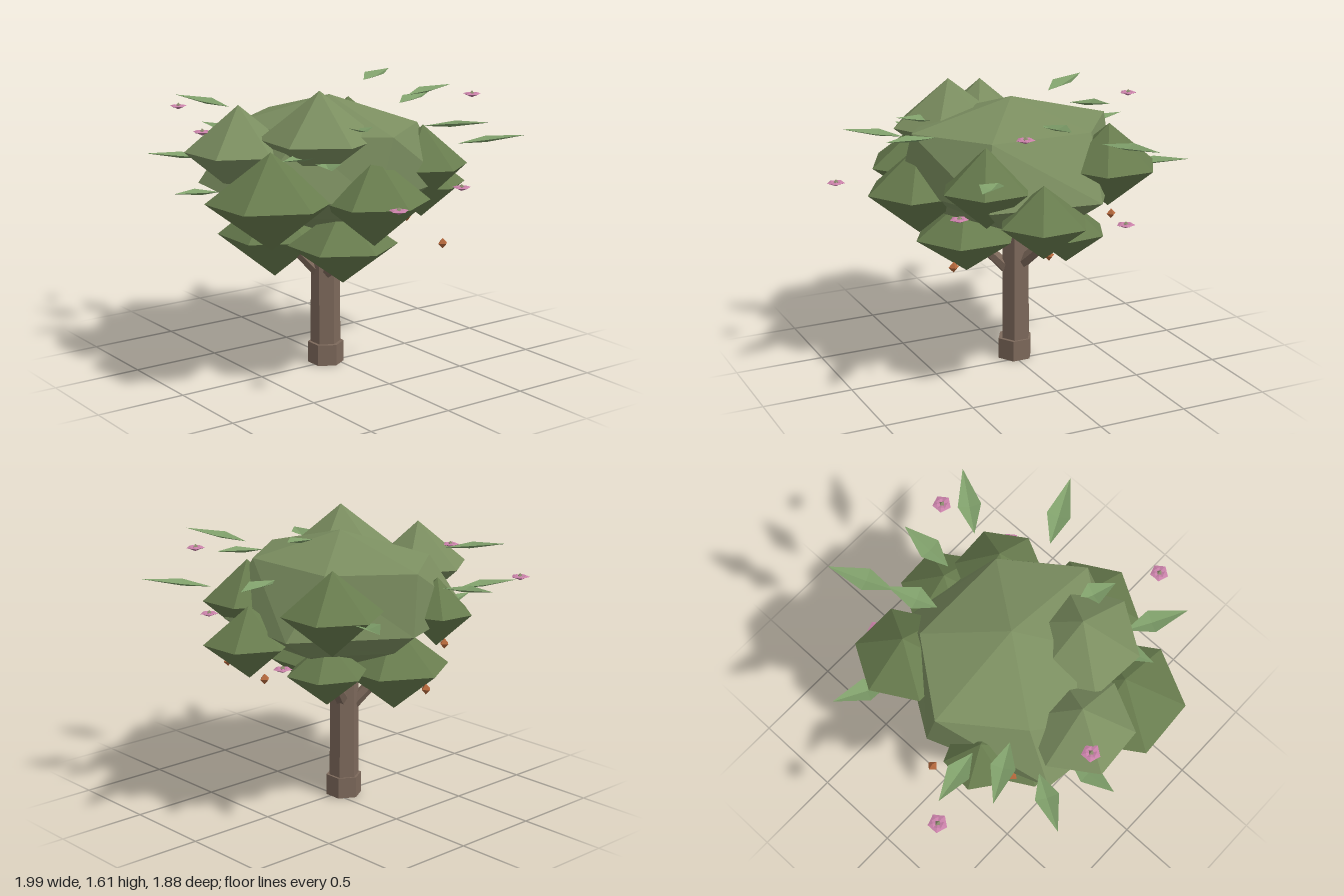
import * as THREE from 'three';

const V = (x, y, z) => new THREE.Vector3(x, y, z);
const mat = (color, side = THREE.FrontSide) =>
  new THREE.MeshStandardMaterial({ color, flatShading: true, side });

const BARK = mat(0x7d695b);
const GREEN = mat(0x7b8e60);
const DARK = mat(0x687c4e);
const LEAF = mat(0x7f9f6a, THREE.DoubleSide);
const PETAL = mat(0xc880a8, THREE.DoubleSide);
const HEART = mat(0x8f8f70);
const FRUIT = mat(0xb5683c);

function add(parent, name, geometry, material, x = 0, y = 0, z = 0) {
  const mesh = new THREE.Mesh(geometry, material);
  mesh.name = name;
  mesh.position.set(x, y, z);
  parent.add(mesh);
  return mesh;
}

// Six-sided limb between two points
function limb(parent, name, a, b, r0, r1) {
  const dir = b.clone().sub(a);
  const mesh = add(parent, name, new THREE.CylinderGeometry(r1, r0, dir.length(), 6), BARK);
  mesh.position.copy(a).addScaledVector(dir, 0.5);
  mesh.quaternion.setFromUnitVectors(V(0, 1, 0), dir.normalize());
}

// Large crown: hexagonal rings closed by an upper and a lower point
function crownGeometry() {
  const rings = [ // y, x radius, z radius, z centre, turn
    [1.53, 0, 0, 0.05, 0], [1.38, 0.585, 0.45, 0.06, 0], [1.05, 0.62, 0.71, 0.095, -0.12],
    [0.93, 0.46, 0.48, 0.05, -0.06], [0.75, 0, 0, 0.05, 0]];
  const pos = [], index = [];
  for (const [y, rx, rz, z, turn] of rings)
    for (let i = 0; i < 6; i++) {
      const a = i * Math.PI / 3 + turn;
      pos.push(rx * Math.cos(a), y, z - rz * Math.sin(a));
    }
  for (let j = 0; j < rings.length - 1; j++)
    for (let i = 0; i < 6; i++) {
      const a = j * 6 + i, b = j * 6 + (i + 1) % 6;
      if (j < rings.length - 2) index.push(a, a + 6, b + 6);
      else index.push(a, a + 6, b);
      if (j > 0 && j < rings.length - 2) index.push(a, b + 6, b);
    }
  const g = new THREE.BufferGeometry();
  g.setAttribute('position', new THREE.Float32BufferAttribute(pos, 3));
  g.setIndex(index);
  g.computeVertexNormals();
  return g;
}

// Pointed leaf folded along its middle rib
function leafGeometry(base, tip) {
  const dir = tip.clone().sub(base);
  const side = V(-dir.z, 0, dir.x).normalize().multiplyScalar(0.065);
  const mid = base.clone().addScaledVector(dir, 0.42);
  const l = mid.clone().add(side), r = mid.clone().sub(side);
  l.y += 0.012;
  r.y += 0.012;
  mid.y -= 0.012;
  const g = new THREE.BufferGeometry().setFromPoints(
    [base, l, mid, mid, l, tip, base, mid, r, mid, tip, r]);
  g.computeVertexNormals();
  return g;
}

function flower(parent, x, y, z) {
  const group = new THREE.Group();
  group.name = 'flower';
  group.position.set(x, y, z);
  const petal = new THREE.OctahedronGeometry(1).scale(0.026, 0.008, 0.034);
  for (let i = 0; i < 5; i++) {
    const a = i * Math.PI * 2 / 5;
    const p = add(group, 'petal', petal, PETAL, 0.026 * Math.cos(a), 0.003, -0.026 * Math.sin(a));
    p.rotation.y = a;
  }
  add(group, 'flowerCup', new THREE.ConeGeometry(0.042, 0.018, 5).rotateX(Math.PI), PETAL, 0, -0.008, 0);
  add(group, 'flowerHeart', new THREE.OctahedronGeometry(0.016), HEART, 0, 0.006, 0);
  parent.add(group);
}

export function createModel() {
  const tree = new THREE.Group();
  tree.name = 'tree';

  // Trunk, root collar and branches
  const hex = (r0, r1, h) => new THREE.CylinderGeometry(r1, r0, h, 6).rotateY(Math.PI / 6);
  add(tree, 'rootCollar', hex(0.102, 0.102, 0.12), BARK, -0.015, 0.06, 0.057);
  add(tree, 'trunk', hex(0.085, 0.08, 0.9), BARK, -0.02, 0.45, 0.055);
  limb(tree, 'branch', V(-0.02, 0.54, 0.05), V(-0.19, 0.84, -0.23), 0.04, 0.028);
  limb(tree, 'branch', V(0.0, 0.51, 0.06), V(0.24, 0.76, 0.13), 0.04, 0.028);
  limb(tree, 'branch', V(-0.02, 0.5, 0.07), V(-0.17, 0.76, 0.27), 0.04, 0.028);

  // Crown and the faceted foliage clumps around it
  add(tree, 'crown', crownGeometry(), GREEN, 0.01, 0, 0);
  const clumps = [ // x, y, z, radius, half height, turn
    [0.275, 1.35, 0.3, 0.32, 0.255, -0.07],
    [-0.05, 1.27, 0.595, 0.29, 0.245, 0.07],
    [0.28, 1.055, 0.61, 0.345, 0.26, 0.06],
    [0.53, 1.045, 0.13, 0.295, 0.245, 0],
    [0.34, 1.15, -0.34, 0.25, 0.22, 0.06],
    [0.1, 0.985, -0.53, 0.25, 0.2, 0.05],
    [-0.375, 1.2, -0.36, 0.275, 0.23, 0],
    [-0.49, 1.12, 0.3, 0.2, 0.19, 0.4],
    [-0.185, 0.75, 0.285, 0.315, 0.25, 0],
    [0.25, 0.75, 0.13, 0.3, 0.215, 0],
    [-0.19, 0.815, -0.23, 0.225, 0.18, 0.1]];
  clumps.forEach(([x, y, z, r, h, turn], i) => {
    const clump = add(tree, 'foliageClump', new THREE.SphereGeometry(1, 6, 2), i < 2 ? GREEN : DARK, x, y, z);
    clump.scale.set(r, h, r);
    clump.rotation.y = turn;
  });

  // Loose leaves: base point, then tip
  const leaves = [
    [-0.2, 1.39, -0.6, -0.345, 1.41, -0.94], [0.375, 1.245, -0.56, 0.6, 1.295, -0.86],
    [-0.53, 1.18, -0.31, -0.825, 1.2, -0.455], [0.55, 1.41, -0.17, 0.89, 1.46, -0.335],
    [-0.54, 1.26, 0.29, -0.85, 1.285, 0.345], [-0.41, 1.44, 0.43, -0.71, 1.485, 0.595],
    [-0.37, 1.18, 0.6, -0.54, 1.21, 0.885], [-0.17, 1.03, 0.64, -0.15, 1.06, 0.935],
    [0.5, 1.27, 0.42, 0.8, 1.305, 0.595], [0.38, 1.28, 0.38, 0.455, 1.3, 0.655],
    [0.4, 1.41, 0.16, 0.61, 1.43, 0.24], [-0.16, 1.555, -0.31, -0.26, 1.59, -0.565],
    [0.065, 1.485, -0.45, 0.065, 1.52, -0.765]];
  for (const [a, b, c, d, e, f] of leaves)
    add(tree, 'leaf', leafGeometry(V(a, b, c), V(d, e, f)), LEAF);

  // Blossoms
  const flowers = [
    [-0.32, 0.95, -0.655], [0.3, 1.495, -0.72], [0.545, 1.04, -0.45],
    [0.945, 1.09, 0.295], [-0.95, 1.37, 0.44], [-0.155, 1.37, 0.755]];
  for (const p of flowers) flower(tree, ...p);

  // Small hanging fruit
  const fruits = [[-0.41, 0.895, 0.45], [-0.64, 0.765, 0.07], [0.53, 0.745, -0.335], [0.04, 0.78, -0.475]];
  for (const p of fruits) add(tree, 'fruit', new THREE.OctahedronGeometry(0.03), FRUIT, ...p);

  return tree;
}
